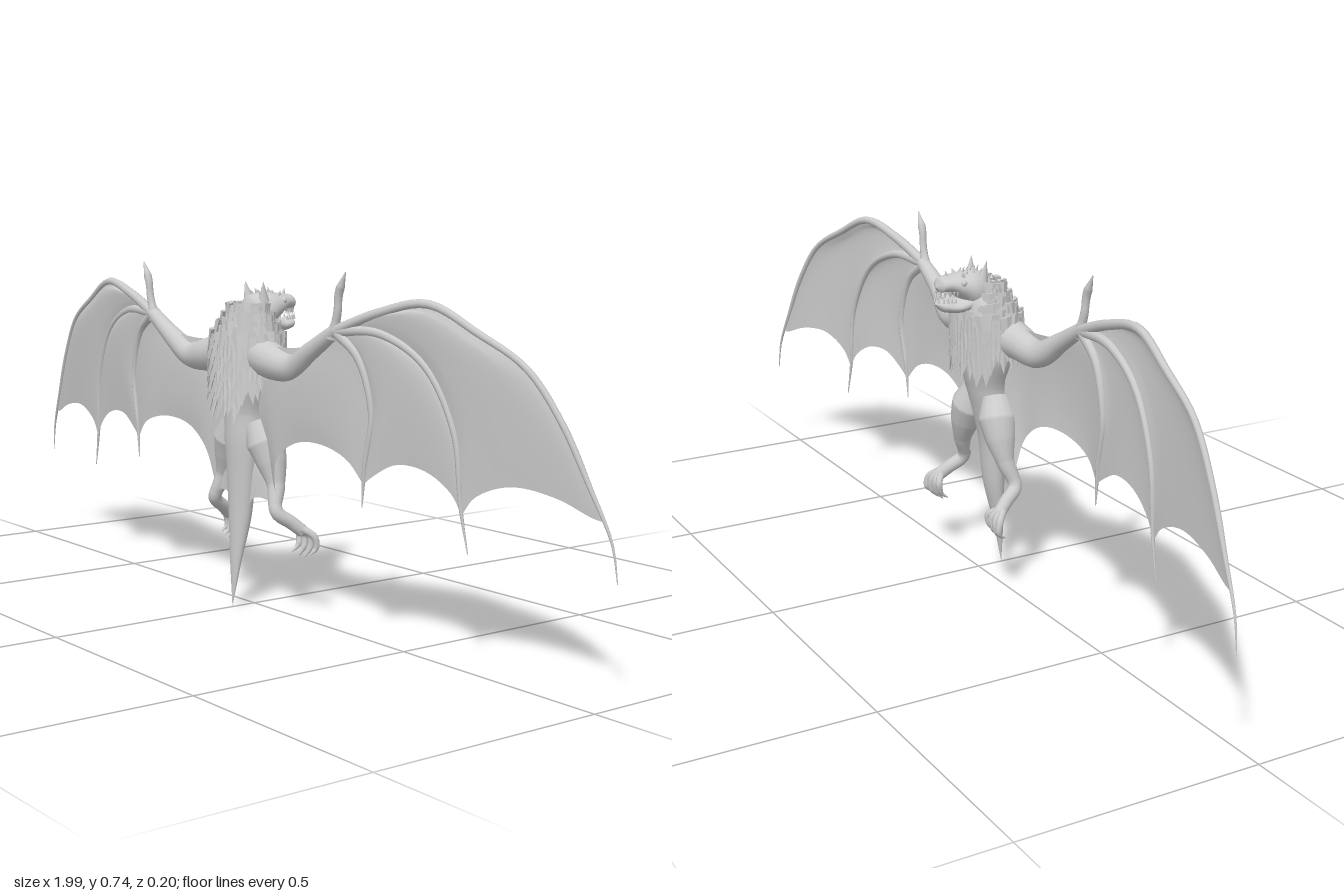
import * as THREE from 'three';
import { ParametricGeometry } from 'three/addons/geometries/ParametricGeometry.js';

const V = (x, y, z) => new THREE.Vector3(x, y, z);
const smooth = new THREE.MeshStandardMaterial({ color: 0xcccccc, side: THREE.DoubleSide });
const faceted = new THREE.MeshStandardMaterial({ color: 0xcccccc, side: THREE.DoubleSide, flatShading: true });

function add(parent, name, geometry, material = smooth) {
  const mesh = new THREE.Mesh(geometry, material);
  mesh.name = name;
  parent.add(mesh);
  return mesh;
}

// Vertical loft of ellipses, sections from top down: [y, z, rx, rz]
function loft(sections, around = 28, along = 48) {
  const centre = new THREE.CatmullRomCurve3(sections.map(s => V(0, s[0], s[1])));
  const radii = new THREE.CatmullRomCurve3(sections.map(s => V(s[2], s[3], 0)));
  return new ParametricGeometry((u, v, p) => {
    const c = centre.getPoint(v), r = radii.getPoint(v), a = u * Math.PI * 2;
    p.set(Math.max(r.x, 0) * Math.cos(a), c.y, c.z + Math.max(r.y, 0) * Math.sin(a));
  }, around, along);
}

// Round limb along a curve whose radius follows a short list
function limb(curve, radii, around = 10, along = 24) {
  const frames = curve.computeFrenetFrames(along);
  return new ParametricGeometry((u, v, p) => {
    const i = Math.round(v * along), a = u * Math.PI * 2;
    const f = v * (radii.length - 1), k = Math.min(Math.floor(f), radii.length - 2);
    const r = THREE.MathUtils.lerp(radii[k], radii[k + 1], f - k);
    p.copy(curve.getPointAt(v))
      .addScaledVector(frames.normals[i], r * Math.cos(a))
      .addScaledVector(frames.binormals[i], r * Math.sin(a));
  }, around, along);
}
const path = (...pts) => new THREE.CatmullRomCurve3(pts.map(p => V(...p)));

// Skin stretched between four edges, with a slight billow
function skin(top, bottom, left, right, billow = 0.01) {
  const c00 = top(0), c10 = top(1), c01 = bottom(0), c11 = bottom(1);
  return new ParametricGeometry((s, t, p) => {
    p.set(0, 0, 0)
      .addScaledVector(top(s), 1 - t).addScaledVector(bottom(s), t)
      .addScaledVector(left(t), 1 - s).addScaledVector(right(t), s)
      .addScaledVector(c00, -(1 - s) * (1 - t)).addScaledVector(c10, -s * (1 - t))
      .addScaledVector(c01, -(1 - s) * t).addScaledVector(c11, -s * t);
    p.z += billow * Math.sin(Math.PI * s) * Math.sin(Math.PI * t);
  }, 24, 24);
}

// The wing sweeps towards -z at its tip
const sweep = [[0, 0.035], [0.15, 0.04], [0.35, 0.045], [0.575, 0.015], [0.8, -0.02], [1.01, -0.06]];
function wingPoint([x, y]) {
  const k = Math.max(1, sweep.findIndex(s => s[0] >= x));
  const [x0, z0] = sweep[k - 1], [x1, z1] = sweep[k];
  return V(x, y, THREE.MathUtils.mapLinear(x, x0, x1, z0, z1));
}
const wingPath = (...pts) => new THREE.CatmullRomCurve3(pts.map(wingPoint));

function buildWing() {
  const wing = new THREE.Group();
  const wrist = [0.335, 0.625];
  const fingers = [
    wingPath(wrist, [0.45, 0.665], [0.575, 0.688], [0.69, 0.64], [0.8, 0.582], [0.875, 0.49], [0.935, 0.38], [0.98, 0.29], [0.993, 0.22]),
    wingPath(wrist, [0.46, 0.625], [0.57, 0.57], [0.64, 0.45], [0.658, 0.31], [0.676, 0.225]),
    wingPath(wrist, [0.4, 0.575], [0.435, 0.47], [0.418, 0.36], [0.412, 0.28]),
  ];
  fingers.forEach((f, i) => add(wing, 'finger' + (i + 1), limb(f, [0.012, 0.009, 0.007, 0.006, 0.001], 8, 40)));

  // Finger membranes with scalloped trailing edges
  const side = f => t => f.getPointAt(t * 0.88);
  const scallops = [
    [[0.94, 0.33], [0.87, 0.355], [0.77, 0.365], [0.69, 0.335]],
    [[0.635, 0.335], [0.575, 0.37], [0.5, 0.375], [0.44, 0.345]],
  ];
  scallops.forEach((mid, i) => {
    const a = side(fingers[i]), b = side(fingers[i + 1]);
    const edge = new THREE.CatmullRomCurve3([a(1), ...mid.map(wingPoint), b(1)]);
    add(wing, 'membrane' + (i + 1), skin(() => wingPoint(wrist), s => edge.getPoint(s), a, b));
  });

  // Inner membrane between arm, third finger and flank
  const c = side(fingers[2]);
  const top = wingPath(wrist, [0.26, 0.592], [0.18, 0.58], [0.08, 0.58]);
  const flank = path([0.08, 0.58, 0.0371], [0.06, 0.42, 0.03], [0.112, 0.255, 0.025]);
  const rim = new THREE.CatmullRomCurve3([c(1), ...[[0.37, 0.37], [0.28, 0.392], [0.19, 0.38], [0.13, 0.335]].map(wingPoint), flank.getPoint(1)]);
  add(wing, 'innerMembrane', skin(s => top.getPoint(s), s => rim.getPoint(s), c, t => flank.getPoint(t)));

  // Arm and thumb claw
  add(wing, 'arm', limb(path([0.05, 0.56, 0.025], [0.12, 0.545, 0.035], [0.19, 0.54, 0.035], [0.26, 0.58, 0.043], [0.34, 0.628, 0.043]),
    [0.045, 0.036, 0.027, 0.02, 0.015], 14));
  add(wing, 'thumb', limb(path([0.325, 0.61, 0.045], [0.342, 0.66, 0.046], [0.348, 0.7, 0.047], [0.368, 0.742, 0.047]),
    [0.014, 0.009, 0.008, 0.009, 0.001]));
  return wing;
}

function buildLeg() {
  const leg = new THREE.Group();
  add(leg, 'leg', limb(path([0.04, 0.41, 0.02], [0.068, 0.35, 0.012], [0.095, 0.28, 0.012], [0.115, 0.225, 0.025], [0.128, 0.2, -0.005], [0.138, 0.18, -0.028]),
    [0.03, 0.043, 0.034, 0.021, 0.015, 0.015, 0.014], 14, 36));
  // Toes curl down into claws
  for (let i = 0; i < 4; i++) {
    const x = 0.112 + i * 0.017, drop = 0.008 * Math.abs(i - 1.5);
    add(leg, 'toe', limb(path([0.133 + i * 0.004, 0.187, -0.022], [x, 0.17, -0.04], [x + 0.002, 0.145, -0.034 - 0.003 * i], [x, 0.12 + drop, -0.018 - 0.003 * i]),
      [0.009, 0.008, 0.007, 0.001], 8, 14));
  }
  // Skin between leg and tail
  const inner = path([0.0, 0.36, 0.035], [0.02, 0.3, 0.038], [0.025, 0.22, 0.038]);
  const outer = path([0.06, 0.36, 0.02], [0.09, 0.3, 0.02], [0.11, 0.235, 0.025]);
  const hem = path([0.025, 0.22, 0.038], [0.045, 0.245, 0.035], [0.08, 0.248, 0.03], [0.11, 0.235, 0.025]);
  add(leg, 'tailMembrane', skin(s => V(0.06 * s, 0.36, 0.035 - 0.015 * s), s => hem.getPoint(s), t => inner.getPoint(t), t => outer.getPoint(t), 0));
  return leg;
}

// Overlapping shaggy plates, row by row around the chest and shoulders
function buildMane() {
  const mane = new THREE.Group();
  mane.name = 'mane';
  const plate = new THREE.ConeGeometry(0.017, 0.06, 4);
  plate.rotateX(Math.PI);
  plate.scale(1, 1, 0.4);
  const halfWidth = y => THREE.MathUtils.clamp(0.02 + (y - 0.43) * 0.95, 0, 0.115);
  for (let row = 0; row < 11; row++) {
    const y = 0.645 - row * 0.019, count = 26;
    const grow = Math.min(1, 0.55 + row * 0.15);
    for (let i = 0; i < count; i++) {
      const a = (i + (row % 2) / 2) / count * Math.PI * 2;
      const x = 0.105 * grow * Math.cos(a), back = Math.sin(a) > 0;
      const z = 0.018 + (back ? 0.068 : 0.066) * grow * Math.sin(a);
      if (Math.abs(x) > halfWidth(y) || (!back && y < 0.485)) continue;
      const m = add(mane, 'tuft', plate, faceted);
      m.position.set(x, y - 0.01 - 0.006 * ((i * 7 + row * 3) % 3), z);
      m.rotation.order = 'YXZ';
      m.rotation.set(back ? -0.22 : -0.12, Math.atan2(Math.cos(a), Math.sin(a)), 0.1 * ((i * 5 + row) % 3 - 1));
    }
  }
  return mane;
}

function buildHead() {
  const head = new THREE.Group();
  head.name = 'head';
  // Sections run back to front: [z, -y, half width, half height]
  const along = s => loft(s, 24, 32).rotateX(Math.PI / 2);
  add(head, 'skull', along([[0.03, -0.635, 0, 0], [0.015, -0.638, 0.036, 0.04], [-0.02, -0.645, 0.046, 0.042], [-0.05, -0.656, 0.041, 0.028],
    [-0.075, -0.663, 0.031, 0.018], [-0.095, -0.662, 0.024, 0.016], [-0.105, -0.658, 0, 0]]));
  add(head, 'jaw', along([[-0.01, -0.625, 0, 0], [-0.025, -0.623, 0.038, 0.022], [-0.06, -0.613, 0.033, 0.014], [-0.09, -0.617, 0.027, 0.013],
    [-0.107, -0.622, 0, 0]]));
  const spike = (name, r, h, x, y, z, rx = 0, rz = 0) => {
    const m = add(head, name, new THREE.ConeGeometry(r, h, 8));
    m.position.set(x, y, z);
    m.rotation.set(rx, 0, rz);
  };
  spike('noseHorn', 0.008, 0.024, 0, 0.681, -0.079, -0.15);
  for (const s of [-1, 1]) {
    spike('ear', 0.013, 0.045, s * 0.03, 0.688, -0.003, 0.15, -s * 0.15);
    spike('browHorn', 0.008, 0.02, s * 0.022, 0.681, -0.05, -0.3, -s * 0.3);
    add(head, 'eye', new THREE.SphereGeometry(0.007, 12, 8)).position.set(s * 0.034, 0.668, -0.055);
    for (let i = 0; i < 5; i++) {
      const z = -0.066 - i * 0.008, x = s * (0.027 - i * i * 0.0011);
      spike('upperTooth', 0.003, 0.014, x, 0.643, z, Math.PI);
      spike('lowerTooth', 0.003, 0.014, x * 0.95, 0.632, z - 0.004);
    }
  }
  // Tufts on the crown
  for (let i = 0; i < 9; i++) spike('crownTuft', 0.009, 0.03, (i % 3 - 1) * 0.015, 0.683 - 0.004 * Math.abs(i % 3 - 1), -0.042 + Math.floor(i / 3) * 0.017, 0.5);
  return head;
}

export function createModel() {
  const model = new THREE.Group();
  model.name = 'wingedBeast';
  add(model, 'bodyAndTail', loft([[0.67, -0.005, 0, 0], [0.645, 0.002, 0.045, 0.042], [0.6, 0.015, 0.085, 0.06], [0.55, 0.018, 0.1, 0.064], [0.49, 0.018, 0.08, 0.058],
    [0.43, 0.02, 0.055, 0.045], [0.37, 0.028, 0.05, 0.037], [0.3, 0.034, 0.04, 0.028], [0.2, 0.038, 0.03, 0.022], [0.1, 0.05, 0.016, 0.01], [0, 0.059, 0, 0]], 32, 70));
  model.add(buildMane(), buildHead());
  for (const [s, side] of [[1, 'left'], [-1, 'right']]) {
    const wing = buildWing(), leg = buildLeg();
    wing.name = side + 'Wing';
    leg.name = side + 'Leg';
    wing.scale.x = leg.scale.x = s;
    model.add(wing, leg);
  }
  return model;
}
